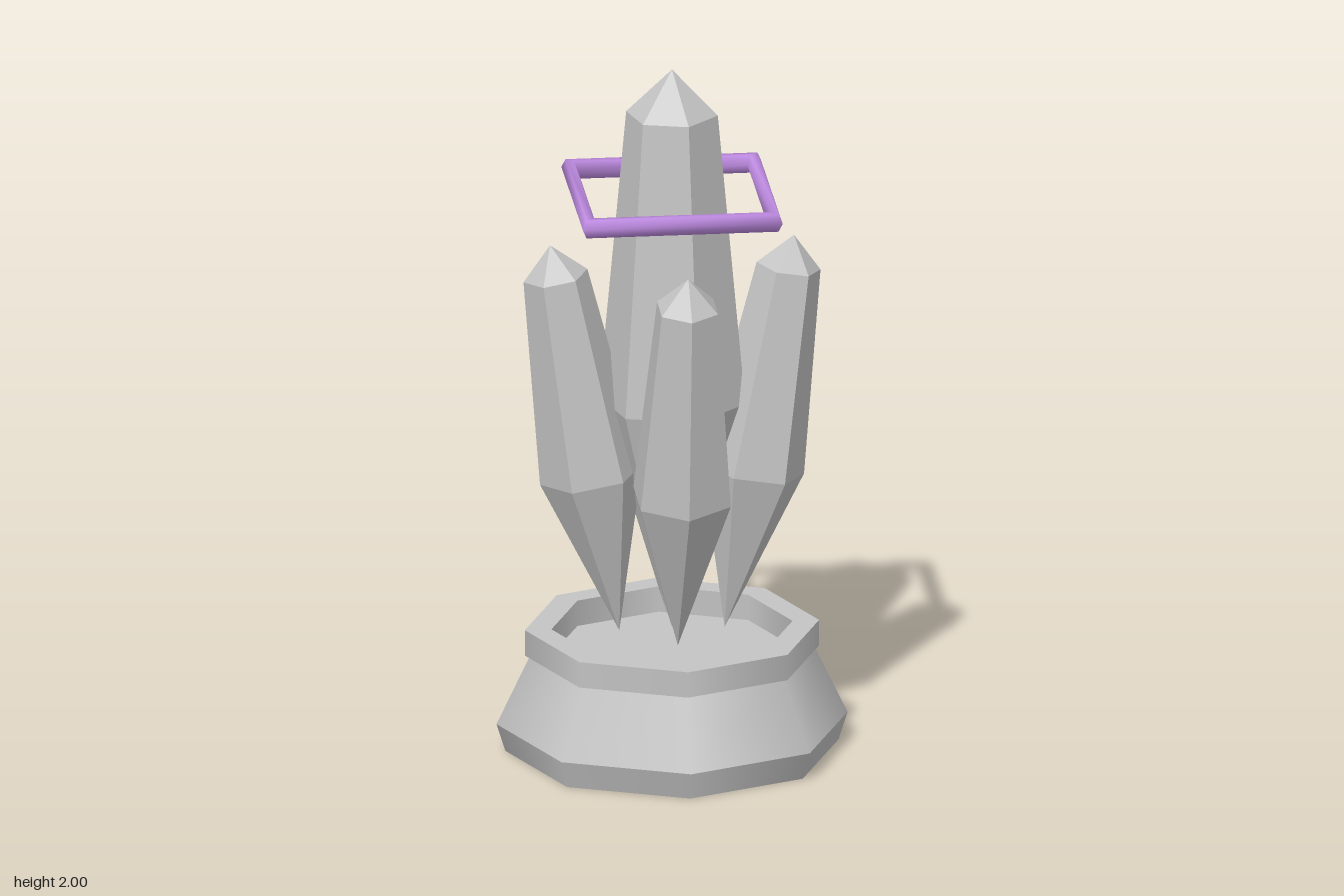
import * as THREE from 'three';

export function createModel() {
  const model = new THREE.Group();
  const stone = new THREE.MeshStandardMaterial({ color: 0xc4c4c4 });
  stone.name = 'grey stone';
  const violet = new THREE.MeshStandardMaterial({ color: 0xbd8ae0 });
  violet.name = 'violet';

  const add = (name, geometry, material, y = 0) => {
    const mesh = new THREE.Mesh(geometry, material);
    mesh.name = name;
    mesh.position.y = y;
    model.add(mesh);
    return mesh;
  };

  // Eight-sided pedestal, corners on the x and z axes
  add('pedestalFoot', new THREE.CylinderGeometry(0.495, 0.47, 0.08, 8), stone, 0.04);
  add('pedestalBody', new THREE.CylinderGeometry(0.40, 0.495, 0.20, 8), stone, 0.18);

  // Raised collar: sharp-edged ring around a shallow recess
  const ring = [[0.34, 0.28], [0.415, 0.28], [0.415, 0.355], [0.34, 0.355], [0.34, 0.28]];
  const collar = new THREE.Group();
  collar.name = 'collar';
  for (let i = 0; i < 4; i++) {
    const pts = [ring[i], ring[i + 1]].map(p => new THREE.Vector2(...p));
    const side = new THREE.Mesh(new THREE.LatheGeometry(pts, 8), stone);
    side.name = 'collarSide' + (i + 1);
    collar.add(side);
  }
  model.add(collar);

  // Six-sided crystal standing on its lower point, flat-faced
  const profile = [[0, 0], [0.208, 0.67], [0.13, 1.52], [0, 1.65]];
  const crystal = new THREE.LatheGeometry(profile.map(p => new THREE.Vector2(...p)), 6)
    .rotateY(Math.PI / 6).toNonIndexed();
  crystal.computeVertexNormals();
  add('mainCrystal', crystal, stone, 0.35);

  // Four smaller crystals leaning outwards, repeated every quarter turn
  const foot = new THREE.Vector3(0.105, 0.345, 0.105);
  const tip = new THREE.Vector3(0.25, 1.495, 0.238);
  const axis = tip.clone().sub(foot);
  const lean = new THREE.Quaternion().setFromUnitVectors(
    new THREE.Vector3(0, 1, 0), axis.clone().normalize());
  const twist = new THREE.Quaternion().setFromAxisAngle(
    new THREE.Vector3(0, 1, 0), THREE.MathUtils.degToRad(17));
  for (let i = 0; i < 4; i++) {
    const turn = new THREE.Group();
    turn.name = 'smallCrystal' + (i + 1);
    const mesh = new THREE.Mesh(crystal, stone);
    mesh.name = 'crystal';
    mesh.position.copy(foot);
    mesh.quaternion.copy(lean).multiply(twist);
    mesh.scale.setScalar(axis.length() / 1.65);
    turn.add(mesh);
    turn.rotation.y = i * Math.PI / 2;
    model.add(turn);
  }

  // Floating four-cornered hoop
  add('floatingHoop', new THREE.TorusGeometry(0.368, 0.03, 6, 4).rotateX(Math.PI / 2), violet, 1.627);

  return model;
}
